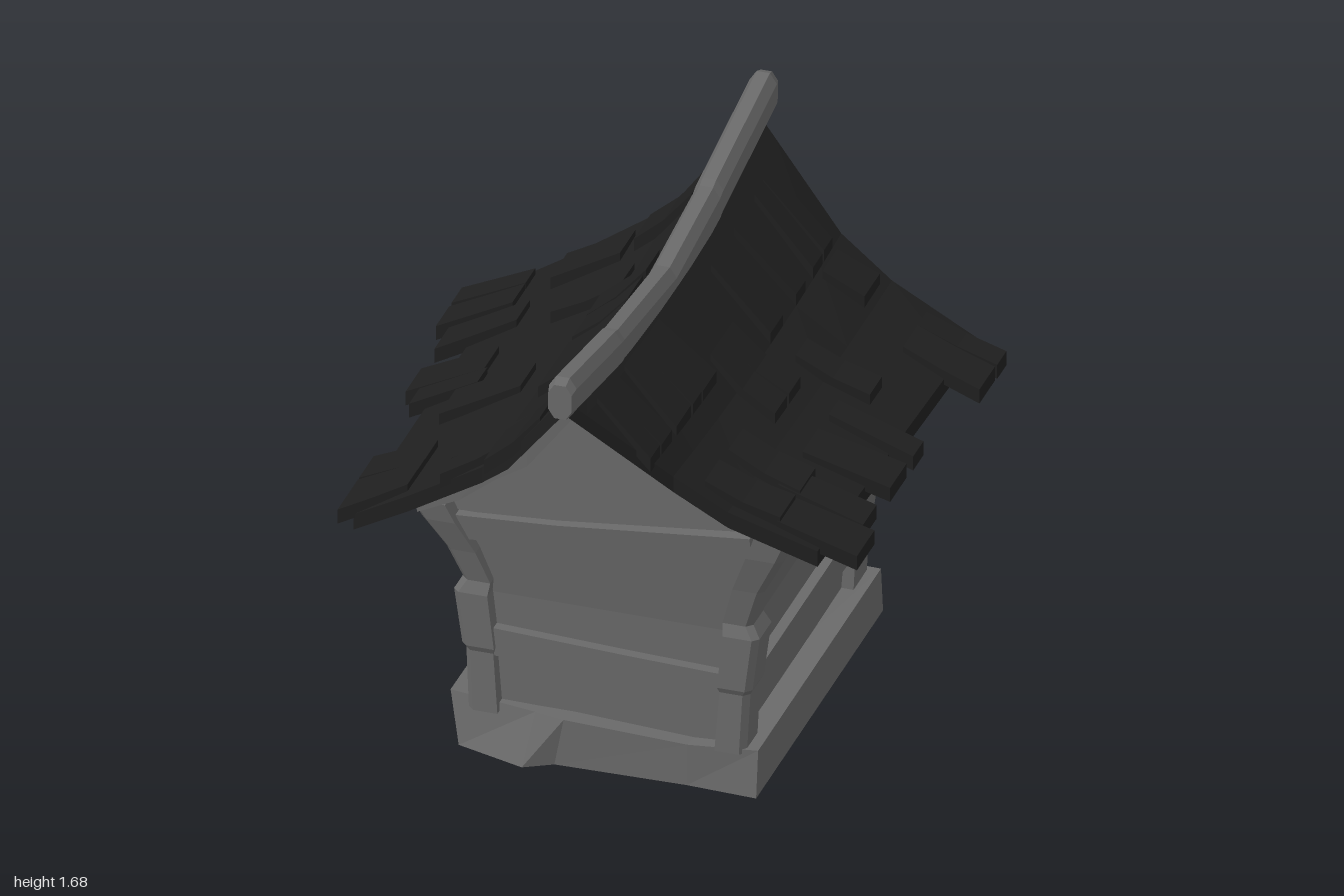
import * as THREE from 'three';

const CX = 0.04, CZ = -0.06; // ridge line and body centre

// Piecewise linear interpolation, extended past the last point
function interp(pts, t) {
  let i = 0;
  while (i < pts.length - 2 && t > pts[i + 1][0]) i++;
  const [a, b] = [pts[i], pts[i + 1]];
  return a[1] + (b[1] - a[1]) * (t - a[0]) / (b[0] - a[0]);
}

// Flat shaded solid through rings of points; each ring is a top row followed by a reversed bottom row
function loft(rings) {
  const tri = [], n = rings[0].length, m = n / 2, last = rings[rings.length - 1];
  const quad = (a, b, c, d) => tri.push(a, b, c, a, c, d);
  for (let r = 0; r < rings.length - 1; r++) {
    for (let i = 0; i < n; i++) {
      const j = (i + 1) % n;
      quad(rings[r][i], rings[r][j], rings[r + 1][j], rings[r + 1][i]);
    }
  }
  for (let i = 0; i < m - 1; i++) {
    const k = [i, i + 1, n - 2 - i, n - 1 - i];
    quad(...k.map((q) => rings[0][q]).reverse());
    quad(...k.map((q) => last[q]));
  }
  // Turn the faces outward if the volume is negative
  let volume = 0;
  for (let i = 0; i < tri.length; i += 3) {
    const [a, b, c] = tri.slice(i, i + 3).map((p) => new THREE.Vector3(...p));
    volume += a.dot(b.cross(c));
  }
  if (volume < 0) tri.reverse();
  const g = new THREE.BufferGeometry();
  g.setAttribute('position', new THREE.Float32BufferAttribute(tri.flat(), 3));
  g.computeVertexNormals();
  return g;
}

// Roof surface, by distance from the ridge on each side
const RIGHT = [[0, 1.49], [0.06, 1.43], [0.29, 1.19], [0.46, 1.085], [0.74, 0.98]];
const LEFT = [[0, 1.49], [0.06, 1.42], [0.24, 1.2], [0.34, 1.12], [0.59, 0.97], [0.78, 0.86]];
const FRONT_EDGE = [[0, 0.96], [0.29, 0.76], [0.78, 0.69]];
const BACK_EDGE = [[0, -0.92], [0.27, -0.87], [0.78, -0.83]];
function roofY(x, z) {
  const d = Math.abs(x - CX);
  const lift = 0.08 * z * z * Math.max(0, 1 - d / 0.7);
  const tilt = x > CX ? 0.045 * z * Math.min(1, d / 0.7) : 0;
  return interp(x > CX ? RIGHT : LEFT, d) + lift + tilt;
}

export function createModel() {
  const model = new THREE.Group();
  const grey = new THREE.MeshStandardMaterial({ color: 0x696969 });
  grey.name = 'weathered grey';
  const black = new THREE.MeshStandardMaterial({ color: 0x1f1f1f });
  black.name = 'charcoal roof';
  const add = (name, geometry, material = grey, parent = model) => {
    const mesh = new THREE.Mesh(geometry, material);
    mesh.name = name;
    parent.add(mesh);
  };
  const group = (name) => {
    const g = new THREE.Group();
    g.name = name;
    model.add(g);
    return g;
  };

  // Chipped stone base, bulging at the front left
  add('base', loft([
    [[-0.45, 0, 0.53], [-0.22, 0, 0.6], [-0.13, 0, 0.55], [0.3, 0, 0.54], [0.53, 0, 0.55],
      [0.53, 0, -0.68], [0.3, 0, -0.68], [-0.13, 0, -0.68], [-0.22, 0, -0.68], [-0.45, 0, -0.68]],
    [[-0.49, 0.17, 0.49], [-0.2, 0.165, 0.53], [-0.1, 0.165, 0.55], [0.3, 0.145, 0.54], [0.53, 0.16, 0.53],
      [0.53, 0.16, -0.66], [0.3, 0.165, -0.66], [-0.1, 0.17, -0.66], [-0.2, 0.17, -0.66], [-0.48, 0.17, -0.66]],
  ]));

  // Flared walls
  const wallX = [[0.15, 0.41], [0.55, 0.44], [0.92, 0.55]];
  const wallZ = [[0.15, 0.55], [0.55, 0.555], [0.92, 0.605]];
  const wx = (y) => interp(wallX, y), wz = (y) => interp(wallZ, y);
  add('walls', loft([0.12, 0.55, 0.75, 0.87].map((y) => [
    [CX - wx(y), y, CZ + wz(y)], [CX + wx(y), y, CZ + wz(y)],
    [CX + wx(y), y, CZ - wz(y)], [CX - wx(y), y, CZ - wz(y)],
  ])));

  // Gable block filling the space under the roof
  const gableX = [-0.53, -0.3, -0.2, CX, 0.33, 0.5, 0.6];
  add('gables', loft([-0.67, 0, 0.54].map((z) => [
    ...gableX.map((x) => [x, roofY(x, z) - 0.04, z]),
    ...gableX.map((x) => [x * 0.97, 0.85, z]).reverse(),
  ])));

  // Rake boards along both gables
  const rakes = group('rakeBoards');
  for (const z of [0.57, -0.7]) {
    for (const xs of [[CX, 0.2, 0.33, 0.5, 0.66], [CX, -0.2, -0.3, -0.42, -0.56]]) {
      add('rakeBoard', loft(xs.map((x, i) => {
        const y = roofY(x, z) - 0.03, h = 0.08 + (i % 2) * 0.02;
        return [[x, y, z - 0.045], [x, y, z + 0.045], [x, y - h, z + 0.04], [x, y - h, z - 0.04]];
      })), grey, rakes);
    }
  }

  // Corner posts: height, outer half x, outer half z, width
  const postRings = [
    [0.14, 0.455, 0.6, 0.1], [0.35, 0.465, 0.595, 0.095], [0.37, 0.475, 0.605, 0.11],
    [0.56, 0.5, 0.61, 0.115], [0.6, 0.475, 0.595, 0.095], [0.74, 0.52, 0.62, 0.1],
    [0.88, 0.59, 0.655, 0.115], [0.96, 0.625, 0.665, 0.12],
  ];
  const posts = group('cornerPosts');
  for (const sx of [1, -1]) {
    for (const sz of [1, -1]) {
      add('cornerPost', loft(postRings.map(([h, ox, oz, w]) => {
        const y = sx < 0 && h > 0.6 ? 0.6 + (h - 0.6) * 0.82 : h;
        const depth = sz < 0 ? w + 0.05 : w + 0.02;
        const x = (k) => CX - 0.005 + sx * k, z = (k) => CZ + sz * k;
        return [[x(ox), y, z(oz - 0.02)], [x(ox - 0.02), y, z(oz)], [x(ox - w), y, z(oz)],
          [x(ox - w), y, z(oz - depth)], [x(ox - w / 2), y, z(oz - depth)], [x(ox), y, z(oz - depth)]];
      })), grey, posts);
    }
  }

  // Wall beams: sections are [position along wall, bottom, top]
  const beams = group('wallBeams');
  const beam = (name, sections, place) => add(name, loft(sections.map(([u, b, t]) => [
    place(u, t, -0.03), place(u, t, 0.035), place(u, b + 0.01, 0.035), place(u, b, -0.03),
  ])), grey, beams);
  for (const s of [1, -1]) {
    const end = (u, y, out) => [u, y, CZ + s * (wz(y) + out)];
    const side = (u, y, out) => [CX + s * (wx(y) + out), y, u];
    beam('lowEndBeam', [[-0.38, 0.33, 0.44], [0.1, 0.33, 0.42], [0.43, 0.33, 0.41]], end);
    beam('topEndBeam', [[-0.46, 0.745, 0.845], [-0.12, 0.775, 0.87], [0.52, 0.835, 0.945]], end);
    beam('lowSideBeam', [[0.46, 0.325, 0.4], [0, 0.3, 0.4], [-0.56, 0.27, 0.4]], side);
    beam('topSideBeam', [[0.5, 0.85, 0.93], [-0.62, 0.86, 0.93]].map(
      ([u, b, t]) => s > 0 ? [u, b, t] : [u, b - 0.08, t - 0.07]), side);
  }

  // Sagging roof slab
  const roofX = [-0.74, -0.55, -0.3, -0.2, -0.02, CX, 0.1, 0.33, 0.5, 0.78];
  add('roof', loft([0, 0.12, 0.27, 0.42, 0.58, 0.73, 0.88, 1].map((t) => {
    const top = roofX.map((x) => {
      const d = Math.abs(x - CX);
      const z = THREE.MathUtils.lerp(interp(BACK_EDGE, d), interp(FRONT_EDGE, d), t);
      return [x, roofY(x, z), z];
    });
    return [...top, ...top.map(([x, y, z]) => [x, y - 0.055, z]).reverse()];
  })), black);

  // Loose shingles in rows: inner x, outer x, then [z centre, width] pairs
  const rows = [
    [-0.65, -0.9, [[-0.77, 0.1], [-0.645, 0.13]]],
    [-0.58, -0.84, [[-0.47, 0.14], [-0.18, 0.15]]],
    [-0.57, -0.79, [[-0.05, 0.1], [0.43, 0.14], [0.55, 0.1], [0.635, 0.1]]],
    [-0.31, -0.54, [[-0.7, 0.16]]],
    [-0.37, -0.63, [[0.1, 0.16]]],
    [-0.21, -0.44, [[-0.4, 0.16], [0.58, 0.1], [0.68, 0.1]]],
    [-0.08, -0.27, [[-0.71, 0.16], [-0.25, 0.14], [-0.1, 0.15], [0.04, 0.08],
      [0.14, 0.14], [0.25, 0.1], [0.65, 0.1], [0.77, 0.12]]],
    [0.13, 0.33, [[-0.74, 0.08], [-0.65, 0.09], [-0.47, 0.09], [-0.25, 0.12]]],
    [0.1, 0.28, [[0.27, 0.13], [0.38, 0.08], [0.5, 0.14], [0.68, 0.1], [0.78, 0.09]]],
    [0.35, 0.48, [[-0.71, 0.15]]],
    [0.24, 0.46, [[-0.03, 0.11], [0.09, 0.12]]],
    [0.41, 0.65, [[-0.25, 0.12], [0.4, 0.15], [0.61, 0.15]]],
    [0.64, 0.9, [[-0.735, 0.09], [-0.605, 0.15], [0.59, 0.17]]],
    [0.58, 0.86, [[-0.05, 0.1], [0.16, 0.16], [0.425, 0.13]]],
  ];
  const shingles = group('shingles');
  let count = 0;
  for (const [x0, x1, list] of rows) {
    for (const [z, w] of list) {
      const skew = ((count * 7) % 5 - 2) * 0.006;
      count++;
      add('shingle', loft([0, 0.5, 1].map((t) => {
        const x = THREE.MathUtils.lerp(x0, x1, t), zc = z + skew * (t - 0.5) * 2;
        const y = roofY(x, z) + 0.025 + 0.015 * t, h = (w / 2) * (0.94 + 0.06 * t);
        return [[x, y, zc - h], [x, y, zc + h], [x, y - 0.05, zc + h], [x, y - 0.05, zc - h]];
      })), black, shingles);
    }
  }

  // Curved ridge beam: z, centre height and scale
  const ridge = [[1, 1.575, 0.85], [0.97, 1.58, 1], [0.53, 1.505, 1], [0.5, 1.5, 0.95], [0, 1.445, 1],
    [-0.42, 1.5, 1], [-0.45, 1.512, 1], [-0.97, 1.608, 1], [-1, 1.608, 0.85]];
  const section = [[-0.045, 0.035], [-0.022, 0.07], [0.022, 0.07], [0.045, 0.035],
    [0.045, -0.035], [0.022, -0.07], [-0.022, -0.07], [-0.045, -0.035]];
  add('ridgeBeam', loft(ridge.map(([z, y, s]) => section.map(([a, b]) => [CX + a * s, y + b * s, z]))));

  return model;
}
